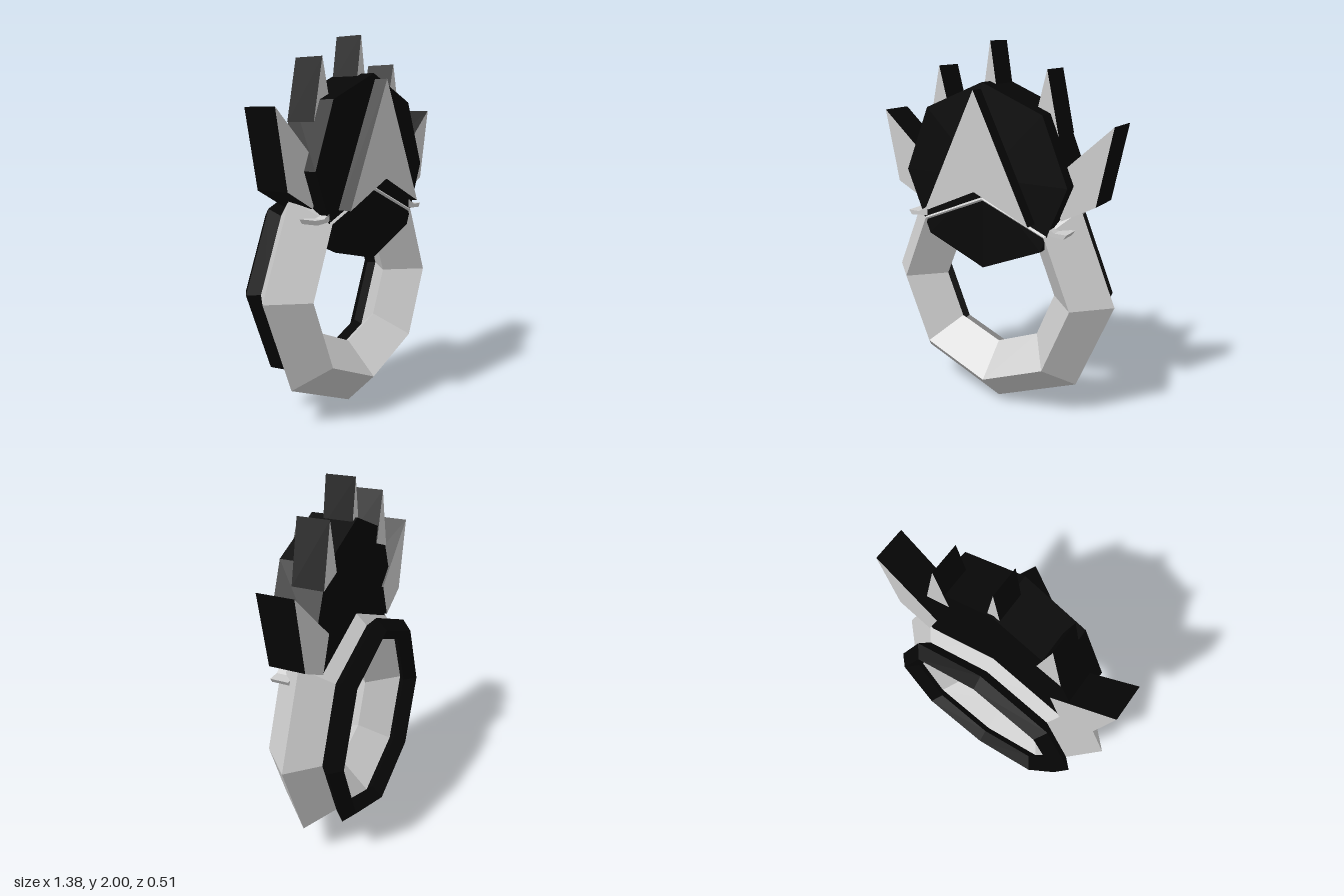
import * as THREE from 'three';

const grey = new THREE.MeshStandardMaterial({ color: 0xcccccc, flatShading: true });
const black = new THREE.MeshStandardMaterial({ color: 0x060606, flatShading: true });

// Flat outline extruded from z0 to z1, with separate cap and side materials
function slab(name, points, z0, z1, cap = grey, side = black) {
  const shape = new THREE.Shape(points.map(([x, y]) => new THREE.Vector2(x, y)));
  const geometry = new THREE.ExtrudeGeometry(shape, { depth: z1 - z0, bevelEnabled: false });
  geometry.translate(0, 0, z0);
  const mesh = new THREE.Mesh(geometry, [cap, side]);
  mesh.name = name;
  return mesh;
}

// Eight-sided ring with a diamond cross-section
function ring(name, radius, tube, z, material) {
  const mesh = new THREE.Mesh(new THREE.TorusGeometry(radius, tube, 4, 8), material);
  mesh.name = name;
  mesh.position.set(0, 0.69, z);
  return mesh;
}

export function createModel() {
  const model = new THREE.Group();
  model.name = 'crownedRing';

  // Main band and the thinner dark band behind it
  model.add(ring('mainBand', 0.518, 0.172, 0.008, grey));
  model.add(ring('rearBand', 0.535, 0.061, -0.192, black));

  // Octagonal head plate
  const plate = new THREE.Mesh(new THREE.CylinderGeometry(0.485, 0.485, 0.25, 8), black);
  plate.name = 'headPlate';
  plate.rotation.x = Math.PI / 2;
  plate.position.set(0, 1.317, 0.045);
  model.add(plate);

  // Arrowhead emblem on the front of the plate
  model.add(slab('arrowhead', [[0, 1.77], [-0.315, 1.12], [0, 1.26], [0.315, 1.12]], 0.178, 0.253));

  // Crown spikes: one in the centre and two on each side
  model.add(slab('centreSpike', [[0, 2], [-0.04, 1.75], [0.04, 1.75]], -0.07, 0.09));
  for (const [name, s] of [['left', 1], ['right', -1]]) {
    const mirror = (points) => points.map(([x, y]) => [s * x, y]);
    model.add(slab(name + 'UpperSpike', mirror([[0.32, 1.87], [0.25, 1.6], [0.39, 1.55]]), -0.085, 0.085));
    model.add(slab(name + 'SideSpike',
      mirror([[0.685, 1.62], [0.35, 1.32], [0.42, 1.13], [0.605, 1.225]]), -0.09, 0.1));
    // Small tab beside the plate
    model.add(slab(name + 'Tab',
      mirror([[0.36, 1.12], [0.36, 1.07], [0.47, 1.06], [0.487, 1.085], [0.42, 1.085]]), 0.07, 0.17, grey, grey));
  }
  return model;
}
